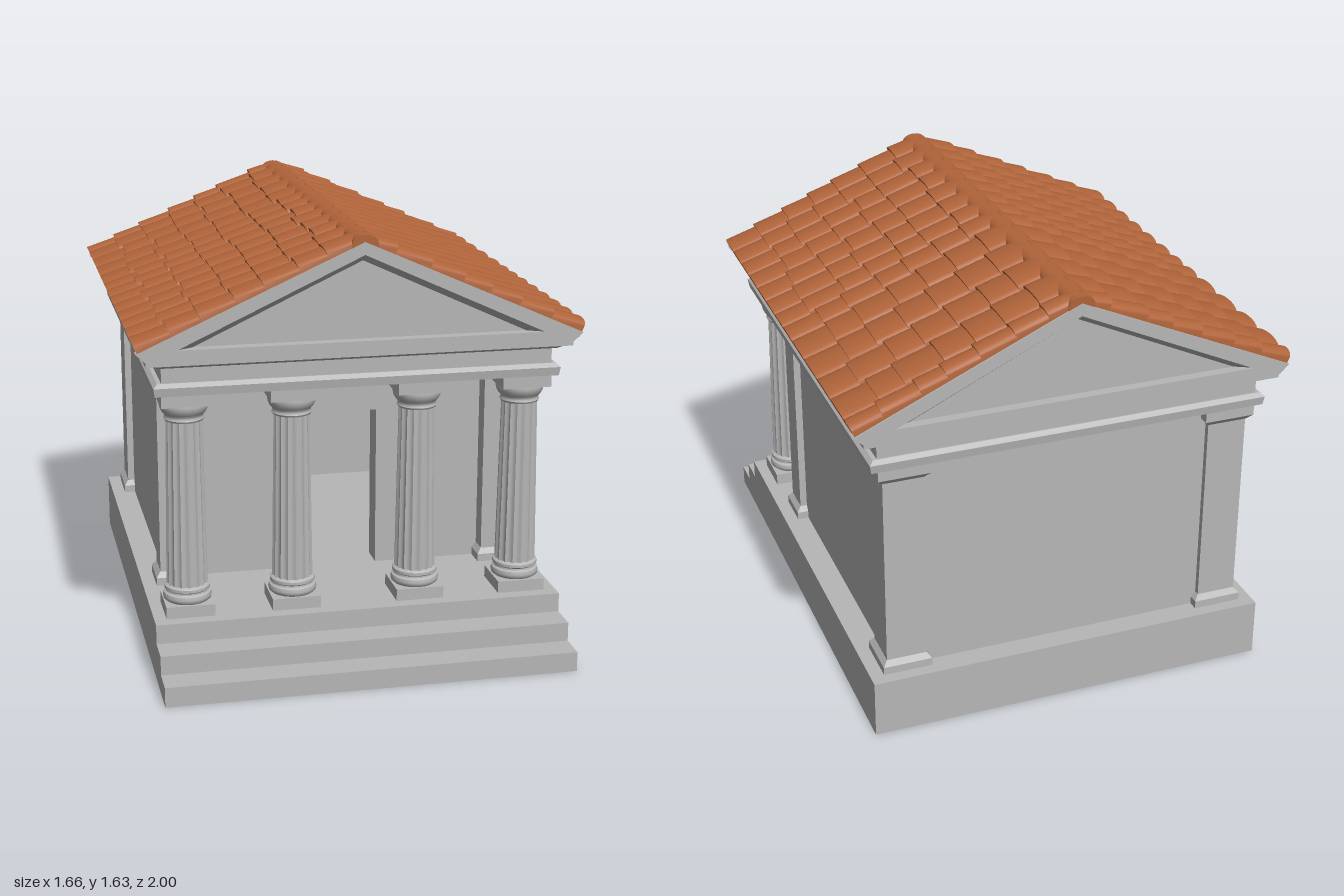
import * as THREE from 'three';
import { mergeGeometries, toCreasedNormals } from 'three/addons/utils/BufferGeometryUtils.js';

export function createModel() {
  const model = new THREE.Group();
  model.name = 'temple';
  const stone = new THREE.MeshStandardMaterial({ color: 0xb6b6b6 });
  stone.name = 'pale stone';
  const clay = new THREE.MeshStandardMaterial({ color: 0xb0643a });
  clay.name = 'terracotta';

  const add = (name, geometry, material = stone, parent = model) => {
    const mesh = new THREE.Mesh(geometry, material);
    mesh.name = name;
    parent.add(mesh);
    return mesh;
  };
  const box = (name, x0, x1, y0, y1, z0, z1, parent = model) => {
    const g = new THREE.BoxGeometry(x1 - x0, y1 - y0, z1 - z0);
    g.translate((x0 + x1) / 2, (y0 + y1) / 2, (z0 + z1) / 2);
    return add(name, g, stone, parent);
  };
  // Block whose top is wider or narrower than its bottom by `grow` on each side
  const flared = (name, w, d, y0, y1, grow, x, z, parent = model) => {
    const g = new THREE.BoxGeometry(w, y1 - y0, d);
    const p = g.attributes.position;
    for (let i = 0; i < p.count; i++) {
      if (p.getY(i) < 0) continue;
      p.setX(i, p.getX(i) + Math.sign(p.getX(i)) * grow);
      p.setZ(i, p.getZ(i) + Math.sign(p.getZ(i)) * grow);
    }
    g.translate(x, (y0 + y1) / 2, z);
    g.computeVertexNormals();
    return add(name, g, stone, parent);
  };
  const polygon = (pts) => new THREE.Shape(pts.map(([x, y]) => new THREE.Vector2(x, y)));
  const extrude = (shape, depth, z) =>
    new THREE.ExtrudeGeometry(shape, { depth, bevelEnabled: false }).translate(0, 0, z);

  // Podium and steps
  [[0, 0.075, 1.0], [0.075, 0.147, 0.89], [0.147, 0.22, 0.775]].forEach(([y0, y1, z], i) =>
    box(i < 2 ? 'step' : 'podium', -0.765, 0.765, y0, y1, -0.98, z));

  // Fluted columns
  const shaft = new THREE.CylinderGeometry(0.067, 0.077, 0.64, 64, 1, true);
  const sp = shaft.attributes.position;
  for (let i = 0; i < sp.count; i++) {
    const k = 1 - 0.09 * Math.abs(Math.sin(8 * Math.atan2(sp.getX(i), sp.getZ(i))));
    sp.setX(i, sp.getX(i) * k);
    sp.setZ(i, sp.getZ(i) * k);
  }
  shaft.translate(0, 0.64, 0);
  const shaftGeometry = toCreasedNormals(shaft, 0.5);
  const turned = (pts) => toCreasedNormals(
    new THREE.LatheGeometry(pts.map(([r, y]) => new THREE.Vector2(r, y)), 40), 0.7);
  const baseGeometry = turned([[0.08, 0.265], [0.088, 0.272], [0.09, 0.283], [0.087, 0.295],
    [0.079, 0.3], [0.078, 0.306], [0.084, 0.311], [0.084, 0.322], [0.078, 0.328], [0.06, 0.33]]);
  const capitalGeometry = turned([[0.06, 0.95], [0.07, 0.953], [0.074, 0.96], [0.07, 0.967],
    [0.071, 0.975], [0.079, 0.983], [0.087, 0.998], [0.09, 1.012], [0.088, 1.022], [0.06, 1.022]]);
  for (const x of [-0.63, -0.235, 0.235, 0.63]) {
    const column = new THREE.Group();
    column.name = 'column';
    column.position.set(x, 0, 0.635);
    model.add(column);
    box('columnPlinth', -0.09, 0.09, 0.22, 0.265, -0.09, 0.09, column);
    add('columnBase', baseGeometry, stone, column);
    add('columnShaft', shaftGeometry, stone, column);
    add('columnCapital', capitalGeometry, stone, column);
    box('columnAbacus', -0.092, 0.092, 1.02, 1.066, -0.092, 0.092, column);
  }

  // Chamber walls with a front doorway
  for (const s of [-1, 1]) {
    box('sideWall', s * 0.635 - 0.035, s * 0.635 + 0.035, 0.22, 1.066, -0.89, 0.31);
  }
  box('backWall', -0.67, 0.67, 0.22, 1.066, -0.895, -0.82);
  add('doorWall', extrude(polygon([[-0.62, 0.22], [-0.163, 0.22], [-0.163, 0.845], [0.163, 0.845],
    [0.163, 0.22], [0.62, 0.22], [0.62, 1.066], [-0.62, 1.066]]), 0.1, 0.2));

  // Corner pilasters with flared feet and heads
  for (const s of [-1, 1]) {
    for (const [w, z] of [[0.12, 0.31], [0.15, -0.842]]) {
      const x = s * (0.697 - w / 2);
      const pilaster = new THREE.Group();
      pilaster.name = 'pilaster';
      model.add(pilaster);
      box('pilasterShaft', x - w / 2, x + w / 2, 0.22, 1.066, z - w / 2, z + w / 2, pilaster);
      flared('pilasterFoot', w + 0.034, w + 0.034, 0.22, 0.25, 0, x, z, pilaster);
      flared('pilasterFootTop', w + 0.034, w + 0.034, 0.25, 0.27, -0.016, x, z, pilaster);
      flared('pilasterHead', w + 0.002, w + 0.002, 1.0, 1.022, 0.02, x, z, pilaster);
      flared('pilasterCap', w + 0.042, w + 0.042, 1.022, 1.066, 0, x, z, pilaster);
    }
  }

  // Entablature courses
  flared('architrave', 1.49, 1.69, 1.066, 1.098, 0.005, 0, -0.105);
  flared('architraveTop', 1.5, 1.7, 1.098, 1.112, -0.015, 0, -0.105);
  box('frieze', -0.72, 0.72, 1.11, 1.175, -0.935, 0.725);
  flared('cornice', 1.47, 1.69, 1.17, 1.19, 0.03, 0, -0.105);
  box('corniceTop', -0.78, 0.78, 1.188, 1.21, -0.99, 0.785);

  // Roof body and gables with sunken triangular panels
  add('roofBody', extrude(polygon([[-0.77, 1.205], [0.77, 1.205], [0.79, 1.24], [0, 1.59], [-0.79, 1.24]]),
    1.71, -0.96));
  const frame = polygon([[-0.78, 1.205], [0.78, 1.205], [0.815, 1.238], [0, 1.602], [-0.815, 1.238]]);
  frame.holes.push(new THREE.Path([[-0.67, 1.246], [0, 1.556], [0.67, 1.246]]
    .map(([x, y]) => new THREE.Vector2(x, y))));
  const bevel = new THREE.BufferGeometry();
  bevel.setAttribute('position', new THREE.Float32BufferAttribute([
    -0.67, 1.246, 0.037, -0.61, 1.246, 0.005, 0, 1.53, 0.005, 0, 1.556, 0.037,
    0, 1.556, 0.037, 0, 1.53, 0.005, 0.61, 1.246, 0.005, 0.67, 1.246, 0.037], 3));
  bevel.setIndex([0, 1, 2, 0, 2, 3, 4, 5, 6, 4, 6, 7]);
  bevel.computeVertexNormals();
  for (const [z, turn] of [[0.75, 0], [-0.955, Math.PI]]) {
    const gable = new THREE.Group();
    gable.name = turn ? 'backGable' : 'frontGable';
    gable.position.z = z;
    gable.rotation.y = turn;
    model.add(gable);
    add('gableFrame', extrude(frame, 0.042, 0), stone, gable);
    add('gableBevel', bevel, stone, gable);
  }

  // Overlapping barrel tiles: rolls across the depth, rows down each slope
  let seed = 7;
  const random = () => (seed = (seed * 16807) % 2147483647) / 2147483647;
  const valleys = [-0.99, -0.905, -0.74, -0.577, -0.407, -0.243, -0.12, 0, 0.132, 0.264, 0.397,
    0.524, 0.656, 0.79];
  const rows = 7, slopeLength = 0.887, rowLength = slopeLength / rows;
  const angle = Math.atan2(0.364, 0.815);
  for (const s of [-1, 1]) {
    const tiles = [];
    const matrix = new THREE.Matrix4().makeBasis(
      new THREE.Vector3(0, 0, -s),
      new THREE.Vector3(s * Math.sin(angle), Math.cos(angle), 0),
      new THREE.Vector3(s * Math.cos(angle), -Math.sin(angle), 0));
    for (let v = 0; v < valleys.length - 1; v++) {
      const half = (valleys[v + 1] - valleys[v]) / 2;
      const outline = [[-half, -0.02], [half, -0.02]];
      for (let i = 0; i <= 10; i++) {
        const a = (i / 10) * Math.PI;
        outline.push([half * Math.cos(a), 0.006 + 0.022 * Math.sin(a)]);
      }
      for (let r = 0; r < rows; r++) {
        const end = (r + 1) * rowLength + (r < rows - 1 ? (random() - 0.5) * 0.03 : 0);
        const start = Math.max(0, r * rowLength - 0.03);
        const tile = extrude(polygon(outline), end - start, start);
        // Lift the lower lip of each tile over the next row
        const p = tile.attributes.position;
        for (let i = 0; i < p.count; i++) {
          if (p.getY(i) > 0) p.setY(i, p.getY(i) + 0.016 * (p.getZ(i) - start) / (end - start));
        }
        tile.applyMatrix4(matrix);
        tile.translate(0, 1.602, (valleys[v] + valleys[v + 1]) / 2);
        tiles.push(toCreasedNormals(tile, 0.7));
      }
    }
    add(s > 0 ? 'leftRoofTiles' : 'rightRoofTiles', mergeGeometries(tiles), clay);
  }

  // Rounded ridge cap
  const ridge = [[-0.048, 1.575], [0.048, 1.575]];
  for (let i = 0; i <= 12; i++) {
    const a = (i / 12) * Math.PI;
    ridge.push([0.048 * Math.cos(a), 1.597 + 0.03 * Math.sin(a)]);
  }
  add('ridgeCap', toCreasedNormals(extrude(polygon(ridge), 1.785, -0.994), 0.7), clay);

  return model;
}
